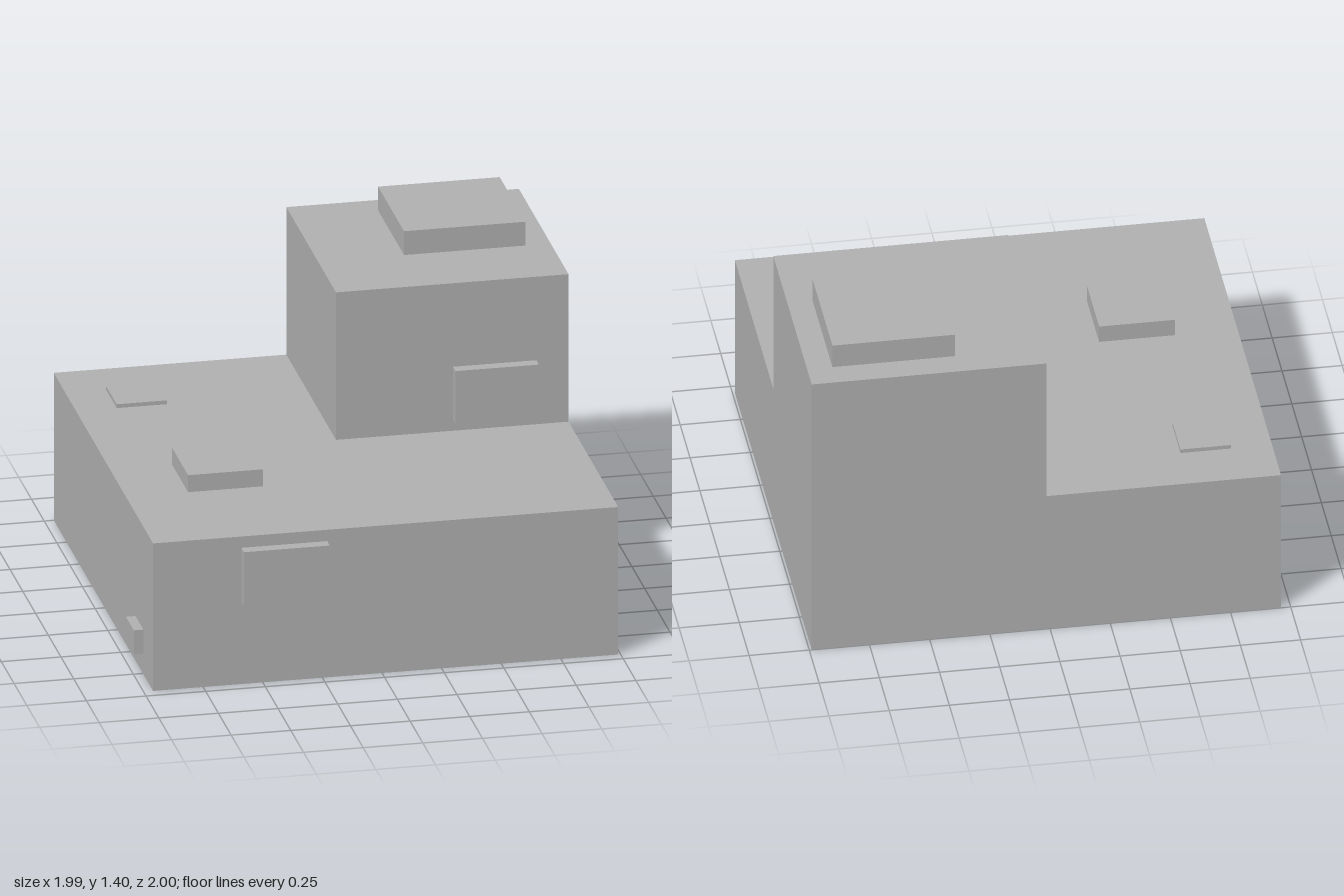
import * as THREE from 'three';

export function createModel() {
  const model = new THREE.Group();
  const gray = new THREE.MeshStandardMaterial({ color: 0xb2b2b2 });
  gray.name = 'plain gray';

  // Adds a box given by its extents along each axis
  const block = (name, [x0, x1], [y0, y1], [z0, z1]) => {
    const mesh = new THREE.Mesh(new THREE.BoxGeometry(x1 - x0, y1 - y0, z1 - z0), gray);
    mesh.position.set((x0 + x1) / 2, (y0 + y1) / 2, (z0 + z1) / 2);
    mesh.name = name;
    model.add(mesh);
  };

  // Main masses: low square base with a tower on its back left corner
  block('base', [-0.96, 0.99], [0, 0.65], [-1, 0.95]);
  block('tower', [0.015, 0.99], [0.65, 1.3], [-1, -0.025]);

  // Raised slabs on the roofs
  block('towerRoofSlab', [0.375, 0.885], [1.3, 1.405], [-0.885, -0.375]);
  block('frontRoofSlab', [-0.7, -0.385], [0.65, 0.725], [0.105, 0.42]);
  block('backRoofSlab', [-0.79, -0.58], [0.65, 0.667], [-0.77, -0.56]);

  // Raised panels on the walls
  block('frontWallPanel', [-0.59, -0.23], [0.36, 0.6], [0.95, 1]);
  block('towerWallPanel', [0.505, 0.855], [0.698, 0.932], [-0.025, 0.025]);
  block('sideWallPanel', [-1, -0.96], [0.092, 0.197], [0.605, 0.76]);

  return model;
}
